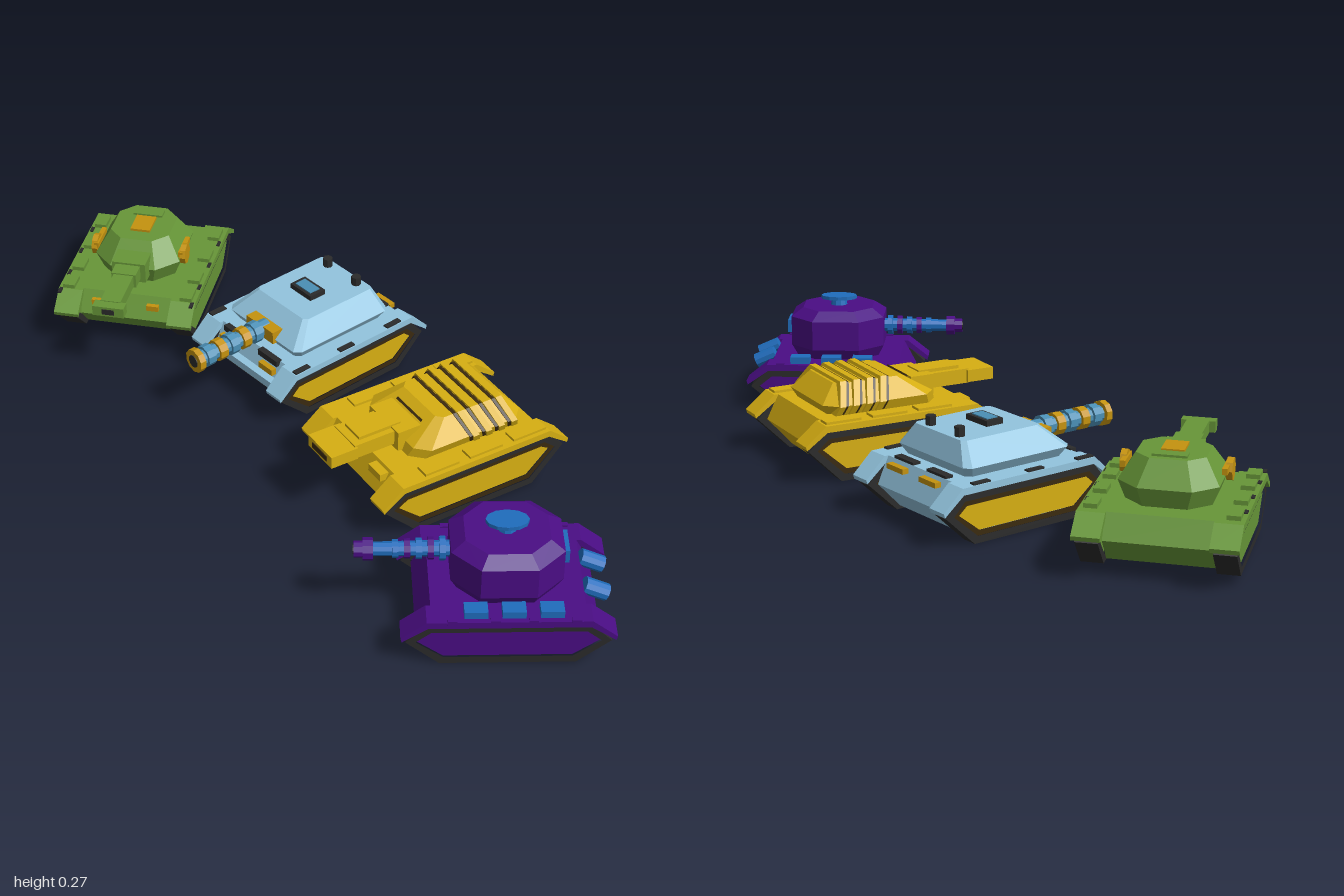
import * as THREE from 'three';
import { ConvexGeometry } from 'three/addons/geometries/ConvexGeometry.js';

const V = (x, y, z) => new THREE.Vector3(x, y, z);

function makeMaterials() {
  const colors = {
    green: 0x679638, gold: 0xc4920f, black: 0x2b2b2b, lightBlue: 0x92c4de, steelBlue: 0x4a8fb5,
    yellow: 0xd6ae12, brown: 0x3a2a0f, purple: 0x4a0d84, blue: 0x1f6dbd,
  };
  const mats = {};
  for (const [name, color] of Object.entries(colors)) {
    mats[name] = new THREE.MeshStandardMaterial({ color });
    mats[name].name = name;
  }
  return mats;
}

function add(parent, name, geo, mat, pos = [0, 0, 0], rot = [0, 0, 0]) {
  const m = new THREE.Mesh(geo, mat);
  m.name = name;
  m.position.set(...pos);
  m.rotation.set(...rot);
  parent.add(m);
  return m;
}

const box = (p, name, mat, size, pos, rot) => add(p, name, new THREE.BoxGeometry(...size), mat, pos, rot);

// Faceted cylinder; by default it lies along z
function rod(p, name, mat, r0, r1, len, pos, rot = [Math.PI / 2, 0, 0], sides = 10) {
  const g = new THREE.CylinderGeometry(r0, r1, len, sides).toNonIndexed();
  g.computeVertexNormals();
  return add(p, name, g, mat, pos, rot);
}

// Side profile of [z, y] points, extruded across x
function sideExtrude(profile, width, hole) {
  const s = new THREE.Shape(profile.map(([z, y]) => new THREE.Vector2(z, y)));
  if (hole) s.holes.push(new THREE.Path(hole.map(([z, y]) => new THREE.Vector2(z, y))));
  const g = new THREE.ExtrudeGeometry(s, { depth: width, bevelEnabled: false });
  g.translate(0, 0, -width / 2);
  return g.rotateY(-Math.PI / 2);
}

// Convex solid through rectangles with cut corners: [y, halfWidth, zBack, zFront, cut]
function facetedSolid(levels) {
  const pts = [];
  for (const [y, w, b, f, c] of levels)
    for (const s of [-1, 1])
      pts.push(V(s * (w - c), y, f), V(s * w, y, f - c), V(s * w, y, b + c), V(s * (w - c), y, b));
  return new ConvexGeometry(pts);
}

// Hull, tracks and fenders. half = half length, a/b = half length of the top and bottom runs
function chassis(t, o) {
  const { half, a, b, y0, ym, yt, w, tw, hull, ring, plate } = o;
  const y1 = yt - 0.016, h = half - 0.008;
  const hex = (d) => [[-h + d * 1.25, ym], [-a + d * 0.6, y1 - d], [a - d * 0.6, y1 - d],
    [h - d * 1.25, ym], [b - d * 0.5, y0 + d], [-b + d * 0.5, y0 + d]];
  add(t, 'hull', sideExtrude([[-half + 0.03, ym], [-a + 0.01, yt], [a - 0.01, yt],
    [half - 0.03, ym], [b - 0.005, y0 + 0.01], [-b + 0.005, y0 + 0.01]], w - 2 * tw + 0.004), hull);
  const yf = ym + 0.006, k = 0.016;
  const fender = [[-half, yf], [-half - 0.003, yf + 0.01], [-a, yt], [a, yt], [half + 0.003, yf + 0.01],
    [half, yf], [a - 0.003, yt - k], [-a + 0.003, yt - k]];
  for (const s of [-1, 1]) {
    const x = s * (w / 2 - tw / 2);
    add(t, 'track', sideExtrude(hex(0), tw - 0.012, hex(0.017)), o.track, [x, 0, 0]);
    if (ring) add(t, 'trackInnerRing', sideExtrude(hex(0.016), tw - 0.018, hex(0.029)), ring, [x, 0, 0]);
    add(t, 'trackSidePlate', sideExtrude(hex(ring ? 0.028 : 0.016), tw - 0.024), plate, [x, 0, 0]);
    add(t, 'fender', sideExtrude(fender, tw), hull, [x, 0, 0]);
  }
}

function tank(name, x, z, turn) {
  const t = new THREE.Group();
  t.name = name;
  t.position.set(x, 0, z);
  t.rotation.y = turn;
  return t;
}

function greenTank(M) {
  const t = tank('greenTank', -0.711, 0.075, 0.743);
  chassis(t, { half: 0.225, a: 0.175, b: 0.15, y0: 0.022, ym: 0.088, yt: 0.142, w: 0.35, tw: 0.062,
    hull: M.green, track: M.black, plate: M.green });
  add(t, 'turret', facetedSolid([[0.14, 0.092, -0.11, 0.1, 0.045], [0.185, 0.108, -0.125, 0.115, 0.05],
    [0.24, 0.075, -0.085, 0.07, 0.035]]), M.green);
  box(t, 'hatch', M.gold, [0.05, 0.008, 0.065], [0, 0.242, 0]);
  box(t, 'hatchLid', M.green, [0.075, 0.006, 0.03], [0, 0.242, -0.055]);
  // Gun with a wide muzzle block
  box(t, 'mantlet', M.green, [0.085, 0.052, 0.06], [0, 0.192, 0.115]);
  box(t, 'barrel', M.green, [0.05, 0.03, 0.17], [0, 0.198, 0.22]);
  box(t, 'barrelSleeve', M.green, [0.062, 0.036, 0.04], [0, 0.198, 0.17]);
  box(t, 'muzzle', M.green, [0.078, 0.026, 0.028], [0, 0.198, 0.316]);
  box(t, 'muzzleBore', M.black, [0.03, 0.014, 0.004], [0, 0.198, 0.33]);
  for (const s of [-1, 1]) {
    rod(t, 'turretSidePod', M.gold, 0.026, 0.026, 0.014, [s * 0.114, 0.192, 0.035], [0, 0, Math.PI / 2], 8);
    box(t, 'turretSideBar', M.gold, [0.012, 0.014, 0.075], [s * 0.109, 0.2, 0.02]);
    box(t, 'headlight', M.gold, [0.03, 0.014, 0.012], [s * 0.07, 0.125, 0.19]);
    for (const z of [-0.13, -0.03, 0.07, 0.15]) {
      box(t, 'fenderBlock', M.green, [0.03, 0.012, 0.045], [s * 0.15, 0.146, z]);
      box(t, 'fenderSlot', M.black, [0.008, 0.005, 0.02], [s * 0.168, 0.142, z + 0.035]);
    }
  }
  return t;
}

function lightBlueTank(M) {
  const t = tank('lightBlueTank', -0.262, -0.118, 0.085);
  chassis(t, { half: 0.233, a: 0.185, b: 0.148, y0: 0.003, ym: 0.075, yt: 0.138, w: 0.34, tw: 0.052,
    hull: M.lightBlue, track: M.black, ring: M.brown, plate: M.yellow });
  add(t, 'turret', facetedSolid([[0.136, 0.115, -0.13, 0.135, 0.012], [0.162, 0.132, -0.145, 0.15, 0.015],
    [0.213, 0.092, -0.125, 0.09, 0.01]]), M.lightBlue);
  box(t, 'hatch', M.black, [0.075, 0.014, 0.046], [0, 0.219, 0.005]);
  box(t, 'hatchLid', M.steelBlue, [0.055, 0.004, 0.03], [0, 0.2265, 0.005]);
  // Segmented gun
  box(t, 'gunMount', M.gold, [0.1, 0.032, 0.03], [0, 0.168, 0.142]);
  rod(t, 'barrel', M.steelBlue, 0.02, 0.02, 0.22, [0, 0.17, 0.245]);
  for (let i = 0; i < 5; i++)
    rod(t, 'barrelRing', i % 2 ? M.gold : M.steelBlue, 0.027, 0.027, 0.022, [0, 0.17, 0.175 + i * 0.036]);
  rod(t, 'muzzle', M.gold, 0.03, 0.03, 0.016, [0, 0.17, 0.35]);
  rod(t, 'muzzleBore', M.black, 0.016, 0.016, 0.004, [0, 0.17, 0.358]);
  for (const s of [-1, 1]) {
    rod(t, 'roofPost', M.black, 0.012, 0.012, 0.026, [s * 0.053, 0.222, -0.105], [0, 0, 0], 8);
    box(t, 'rearVent', M.black, [0.07, 0.012, 0.02], [s * 0.06, 0.138, -0.165]);
    box(t, 'rearLight', M.gold, [0.06, 0.012, 0.016], [s * 0.06, 0.126, -0.192]);
    box(t, 'frontVent', M.black, [0.07, 0.016, 0.016], [s * 0.065, 0.134, 0.18]);
    box(t, 'headlight', M.gold, [0.05, 0.016, 0.014], [s * 0.075, 0.115, 0.196]);
    for (const z of [-0.13, 0.02, 0.16])
      box(t, 'fenderSlot', M.black, [0.014, 0.01, 0.045], [s * 0.16, 0.137, z]);
  }
  box(t, 'frontBumper', M.lightBlue, [0.235, 0.02, 0.02], [0, 0.088, 0.205]);
  box(t, 'frontGrille', M.black, [0.2, 0.008, 0.008], [0, 0.074, 0.206]);
  return t;
}

function yellowTank(M) {
  const t = tank('yellowTank', 0.25, -0.11, -0.075);
  chassis(t, { half: 0.25, a: 0.2, b: 0.16, y0: 0.003, ym: 0.085, yt: 0.144, w: 0.355, tw: 0.056,
    hull: M.yellow, track: M.black, ring: M.brown, plate: M.yellow });
  add(t, 'turret', facetedSolid([[0.142, 0.112, -0.155, 0.13, 0.03], [0.168, 0.122, -0.17, 0.12, 0.03],
    [0.212, 0.08, -0.13, 0.045, 0.015]]), M.yellow);
  // Slanted ribs wrapped over the back of the turret
  for (let i = 0; i < 4; i++) {
    const z = -0.125 + i * 0.035;
    const rib = (name, mat, grow, thick, dz) => {
      const pts = [];
      for (const [y, w, lean] of [[0.146, 0.112, -0.016], [0.168, 0.122, -0.008], [0.212, 0.08, 0.012]])
        for (const s of [-1, 1]) for (const e of [-1, 1])
          pts.push(V(s * (w + grow), y + (y > 0.2 ? grow : 0), z + dz + lean + e * thick / 2));
      add(t, name, new ConvexGeometry(pts), mat);
    };
    rib('turretRib', M.yellow, 0.007, 0.016, 0);
    rib('turretGroove', M.brown, 0.003, 0.008, 0.012);
  }
  // Broad stepped gun
  box(t, 'gunMount', M.yellow, [0.12, 0.05, 0.06], [0, 0.172, 0.11]);
  box(t, 'barrel', M.yellow, [0.088, 0.036, 0.13], [0, 0.175, 0.18]);
  box(t, 'barrelCover', M.yellow, [0.06, 0.01, 0.11], [0, 0.196, 0.17]);
  box(t, 'muzzle', M.yellow, [0.1, 0.03, 0.07], [0, 0.175, 0.275]);
  box(t, 'muzzleBore', M.brown, [0.06, 0.014, 0.004], [0, 0.175, 0.31]);
  box(t, 'visor', M.brown, [0.1, 0.006, 0.004], [0, 0.2, 0.072], [-0.95, 0, 0]);
  for (const s of [-1, 1]) {
    box(t, 'headlight', M.yellow, [0.05, 0.018, 0.022], [s * 0.08, 0.13, 0.205]);
    for (const z of [-0.15, -0.03, 0.09])
      box(t, 'fenderPlate', M.yellow, [0.034, 0.008, 0.09], [s * 0.15, 0.146, z]);
  }
  return t;
}

function purpleTank(M) {
  const t = tank('purpleTank', 0.738, 0.08, -0.608);
  chassis(t, { half: 0.225, a: 0.174, b: 0.145, y0: 0.003, ym: 0.063, yt: 0.122, w: 0.315, tw: 0.056,
    hull: M.purple, track: M.black, plate: M.purple });
  add(t, 'turret', facetedSolid([[0.12, 0.095, -0.105, 0.105, 0.05], [0.15, 0.113, -0.12, 0.12, 0.06],
    [0.225, 0.113, -0.12, 0.12, 0.06], [0.247, 0.085, -0.09, 0.09, 0.045]]), M.purple);
  // Raised roof hatch
  rod(t, 'hatchStem', M.blue, 0.018, 0.022, 0.02, [0, 0.255, 0], [0, 0, 0]);
  const lid = rod(t, 'hatchLid', M.blue, 0.03, 0.03, 0.009, [0, 0.267, 0], [0, 0, 0], 12);
  lid.scale.z = 1.55;
  // Ringed gun
  rod(t, 'barrel', M.blue, 0.015, 0.018, 0.2, [0, 0.192, 0.21]);
  for (let i = 0; i < 5; i++) {
    const r = 0.026 - i * 0.0015;
    rod(t, 'barrelRing', i % 2 ? M.purple : M.blue, r, r, 0.013, [0, 0.192, 0.135 + i * 0.025]);
  }
  rod(t, 'muzzle', M.purple, 0.025, 0.025, 0.022, [0, 0.192, 0.293]);
  rod(t, 'muzzleTip', M.purple, 0.018, 0.018, 0.022, [0, 0.192, 0.312]);
  rod(t, 'muzzleBore', M.black, 0.011, 0.011, 0.004, [0, 0.192, 0.323]);
  box(t, 'turretRearBox', M.blue, [0.07, 0.032, 0.02], [0, 0.194, -0.122]);
  for (const s of [-1, 1]) {
    rod(t, 'rearFuelDrum', M.blue, 0.019, 0.019, 0.055, [s * 0.045, 0.113, -0.19], [1.15, 0, 0]);
    for (const z of [-0.09, -0.01, 0.07])
      box(t, 'fenderBox', M.blue, [0.034, 0.018, 0.05], [s * 0.128, 0.13, z]);
    for (const z of [-0.14, -0.05, 0.03, 0.12])
      box(t, 'fenderRivet', M.purple, [0.012, 0.012, 0.02], [s * 0.152, 0.12, z]);
  }
  return t;
}

export function createModel() {
  const M = makeMaterials();
  const g = new THREE.Group();
  g.name = 'tankLineup';
  g.add(greenTank(M), lightBlueTank(M), yellowTank(M), purpleTank(M));
  return g;
}
